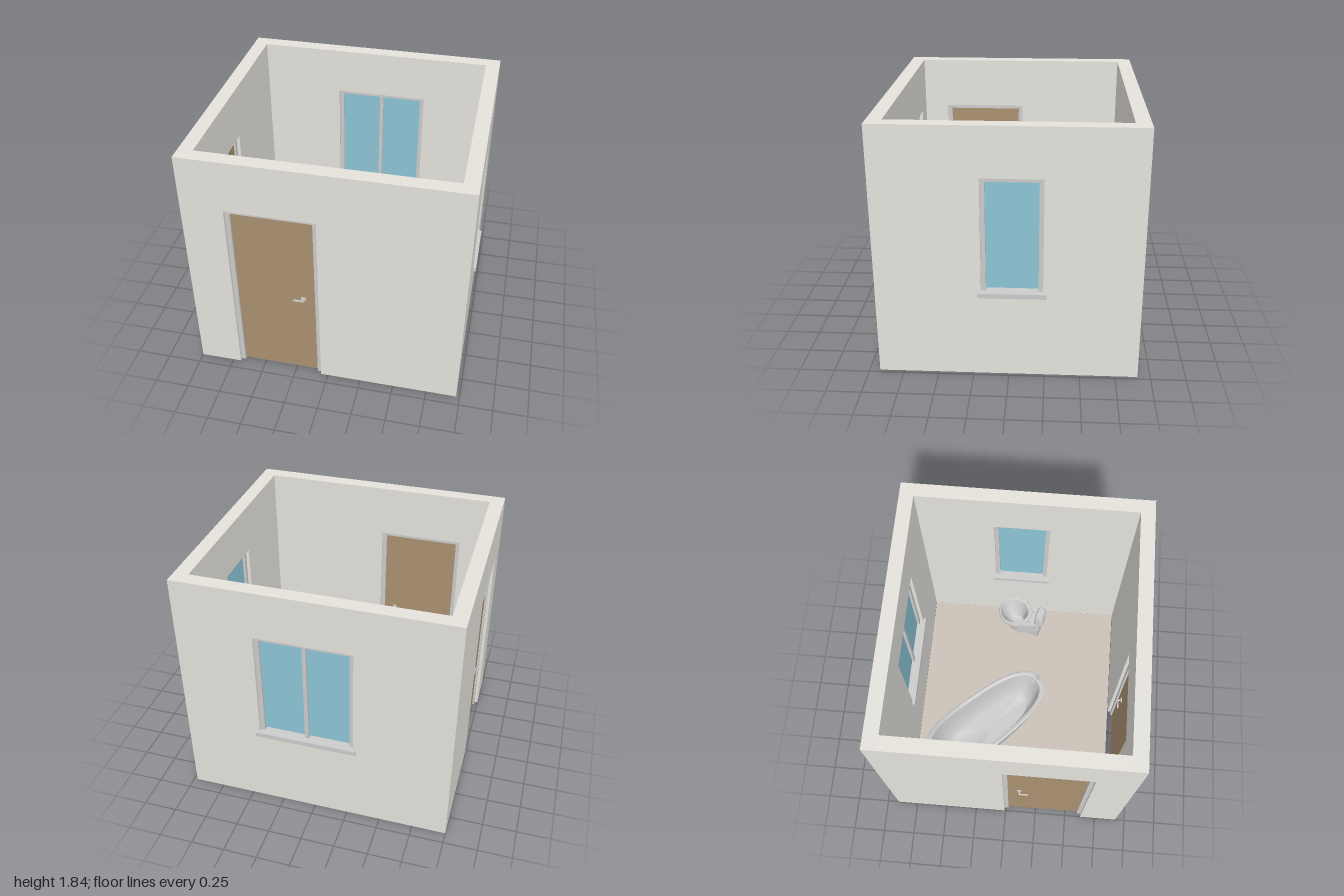
import * as THREE from 'three';
import { toCreasedNormals } from 'three/addons/utils/BufferGeometryUtils.js';

const mat = (color) => new THREE.MeshStandardMaterial({ color });
const BASE = 0.015, TOP = 1.85, THICK = 0.105, FRAME = 0.032;

export function createModel() {
  const wallMat = mat(0xe4e2db), floorMat = mat(0xcac1b8), doorMat = mat(0xaa9171);
  const glassMat = mat(0x8dc4d5), grey = mat(0xcccccc);
  const room = new THREE.Group();
  room.name = 'bathroom';

  const add = (parent, name, geo, material, x = 0, y = 0, z = 0) => {
    const m = new THREE.Mesh(geo, material);
    m.name = name;
    m.position.set(x, y, z);
    parent.add(m);
    return m;
  };
  // Box given by its left/right, bottom/top and depth range
  const box = (parent, name, material, x0, x1, y0, y1, z0, z1) =>
    add(parent, name, new THREE.BoxGeometry(x1 - x0, y1 - y0, z1 - z0), material,
      (x0 + x1) / 2, (y0 + y1) / 2, (z0 + z1) / 2);
  const group = (name, x, y, z, turn) => {
    const g = new THREE.Group();
    g.name = name;
    g.position.set(x, y, z);
    g.rotation.y = turn;
    room.add(g);
    return g;
  };

  // Three-sided frame without a bottom rail
  const frame = (g, name, x0, x1, y0, y1) => {
    const d = 0.0275;
    box(g, name + 'JambA', grey, x0, x0 + FRAME, y0, y1, -d, d);
    box(g, name + 'JambB', grey, x1 - FRAME, x1, y0, y1, -d, d);
    box(g, name + 'Head', grey, x0 + FRAME, x1 - FRAME, y1 - FRAME, y1, -d, d);
  };

  // Wall in its own frame: +z points out of the room, z = 0 is mid-thickness
  const wall = (name, x, z, turn, u0, u1, o) => {
    const g = group(name, x, 0, z, turn);
    const s = new THREE.Shape();
    const path = (target, pts) => target.setFromPoints(pts.map((p) => new THREE.Vector2(...p)));
    const opening = [[o.x0, o.y0], [o.x0, o.y1], [o.x1, o.y1], [o.x1, o.y0]];
    if (o.door) path(s, [[u0, BASE], ...opening, [u1, BASE], [u1, TOP], [u0, TOP]]);
    else {
      path(s, [[u0, BASE], [u1, BASE], [u1, TOP], [u0, TOP]]);
      s.holes.push(path(new THREE.Path(), opening));
    }
    const geo = new THREE.ExtrudeGeometry(s, { depth: THICK, bevelEnabled: false });
    add(g, name + 'Panel', geo, wallMat, 0, 0, -THICK / 2);
    return g;
  };

  const doorWall = (name, x, z, turn, u0, u1, x0, x1, handleEnd) => {
    const g = wall(name, x, z, turn, u0, u1, { door: true, x0, x1, y0: BASE, y1: 1.46 });
    frame(g, 'doorFrame', x0, x1, BASE, 1.46);
    box(g, 'door', doorMat, x0 + FRAME, x1 - FRAME, 0.025, 1.43, -0.012, 0.012);
    // Lever handle on both faces
    const edge = handleEnd > 0 ? x1 : x0;
    for (const f of [1, -1]) {
      const hx = edge - handleEnd * 0.12;
      box(g, 'handlePlate', grey, hx - 0.017, hx + 0.017, 0.717, 0.747, f > 0 ? 0.012 : -0.018, f > 0 ? 0.018 : -0.012);
      const stem = add(g, 'handleStem', new THREE.CylinderGeometry(0.007, 0.007, 0.03, 12), grey, hx, 0.731, f * 0.027);
      stem.rotation.x = Math.PI / 2;
      add(g, 'handleLever', new THREE.BoxGeometry(0.075, 0.011, 0.009), grey, hx - handleEnd * 0.031, 0.731, f * 0.041);
    }
  };

  const windowWall = (name, x, z, turn, u0, u1, x0, x1, panes) => {
    const g = wall(name, x, z, turn, u0, u1, { x0, x1, y0: 0.65, y1: 1.495 });
    frame(g, 'windowFrame', x0, x1, 0.665, 1.495);
    const w = (x1 - x0 - 2 * FRAME) / panes;
    for (let i = 0; i < panes; i++) {
      const a = x0 + FRAME + i * w;
      box(g, 'glassPane', glassMat, a, a + w, 0.68, 1.465, -0.008, 0.008);
      if (i) box(g, 'mullion', grey, a - 0.014, a + 0.014, 0.665, 1.465, -0.0275, 0.0275);
    }
    box(g, 'windowSill', grey, x0 - 0.024, x1 + 0.024, 0.63, 0.665, -0.074, 0.074);
  };

  doorWall('frontWall', 0, 0.8725, 0, -1, 0.975, -0.692, -0.053, 1);
  doorWall('rightHandWall', -0.9475, 0, -Math.PI / 2, -0.805, 0.82, -0.01, 0.629, -1);
  windowWall('backWall', 0, -0.8575, Math.PI, -0.975, 1, -0.405, 0.295, 2);
  windowWall('leftHandWall', 0.9225, 0, Math.PI / 2, -0.82, 0.805, -0.19, 0.235, 1);
  box(room, 'floor', floorMat, -0.892, 0.867, 0.016, 0.021, -0.803, 0.817);

  // Skin over superellipse rings [y, half length, half width, x shift, end rise]
  const loft = (rings, power = 2, taper = 0, n = 48) => {
    const pos = [], idx = [];
    const bend = (v) => Math.sign(v) * Math.abs(v) ** (2 / power);
    rings.forEach(([y, a, b, shift = 0, rise = 0], i) => {
      for (let j = 0; j < n; j++) {
        const t = (j / n) * Math.PI * 2, c = bend(Math.cos(t));
        const lift = rise * Math.max(0, -c) ** 2;
        pos.push(shift + a * c, y + lift, b * (1 - taper * c) * bend(Math.sin(t)));
        if (i === rings.length - 1) continue;
        const p = i * n + j, q = i * n + (j + 1) % n;
        idx.push(p, p + n, q, q, p + n, q + n);
      }
    });
    const geo = new THREE.BufferGeometry();
    geo.setAttribute('position', new THREE.Float32BufferAttribute(pos, 3));
    geo.setIndex(idx);
    return toCreasedNormals(geo, 0.8);
  };
  const rod = (g, name, pts, r) => add(g, name, new THREE.TubeGeometry(
    new THREE.CatmullRomCurve3(pts.map((p) => new THREE.Vector3(...p))), 20, r, 10), grey);

  // Freestanding bathtub with a raised head end
  const tub = group('bathtub', -0.315, 0.02, -0.21, -0.82);
  add(tub, 'tubShell', loft([
    [0, 0.001, 0.001], [0, 0.42, 0.16], [0.03, 0.44, 0.17], [0.2, 0.5, 0.2, 0, 0.02],
    [0.36, 0.535, 0.213, 0, 0.08], [0.39, 0.56, 0.23, 0, 0.09], [0.405, 0.56, 0.23, 0, 0.09],
    [0.412, 0.545, 0.218, 0, 0.09], [0.405, 0.52, 0.195, 0, 0.09], [0.3, 0.49, 0.182, 0, 0.05],
    [0.12, 0.43, 0.155, 0.01], [0.08, 0.38, 0.125, 0.02], [0.07, 0.001, 0.001, 0.02],
  ], 2.6, 0.08), grey);
  add(tub, 'tubDrain', new THREE.CylinderGeometry(0.02, 0.02, 0.008, 16), grey, 0.28, 0.077, 0);
  rod(tub, 'tubSpout', [[0.54, 0.4, 0], [0.54, 0.47, 0], [0.51, 0.49, 0], [0.47, 0.46, 0]], 0.011);

  // Pedestal basin, back edge towards -x in its own frame
  const sink = group('washBasin', -0.77, 0.02, 0, -Math.PI / 2);
  add(sink, 'basinPedestal', loft([
    [0, 0.001, 0.001, -0.06], [0, 0.085, 0.075, -0.06], [0.04, 0.075, 0.065, -0.06],
    [0.25, 0.055, 0.05, -0.06], [0.45, 0.085, 0.07, -0.04], [0.46, 0.001, 0.001, -0.04],
  ]), grey);
  add(sink, 'basinBowl', loft([
    [0.42, 0.001, 0.001], [0.42, 0.1, 0.07, -0.02], [0.48, 0.18, 0.1, -0.01],
    [0.55, 0.215, 0.122], [0.585, 0.217, 0.125], [0.592, 0.208, 0.117],
    [0.59, 0.14, 0.1, 0.05], [0.54, 0.125, 0.09, 0.045], [0.48, 0.08, 0.06, 0.03],
    [0.47, 0.001, 0.001, 0.02],
  ], 3.6), grey);
  add(sink, 'basinDrain', new THREE.CylinderGeometry(0.014, 0.014, 0.008, 16), grey, 0.015, 0.478, 0);
  rod(sink, 'basinSpout', [[-0.16, 0.585, 0], [-0.16, 0.65, 0], [-0.13, 0.665, 0], [-0.09, 0.64, 0]], 0.008);
  for (const s of [-1, 1])
    add(sink, 'basinTap', new THREE.CylinderGeometry(0.01, 0.012, 0.045, 12), grey, -0.155, 0.612, s * 0.037);

  // Toilet, bowl towards +x in its own frame
  const toilet = group('toilet', 0.715, 0.02, -0.055, 1.28);
  add(toilet, 'toiletBowl', loft([
    [0, 0.001, 0.001, -0.05], [0, 0.12, 0.07, -0.05], [0.05, 0.11, 0.065, -0.05],
    [0.15, 0.12, 0.085, -0.02], [0.24, 0.145, 0.132], [0.27, 0.148, 0.138],
    [0.283, 0.142, 0.132], [0.28, 0.122, 0.11, 0.012], [0.2, 0.095, 0.085, 0.01],
    [0.1, 0.05, 0.045, -0.02], [0.09, 0.001, 0.001, -0.02],
  ], 2.1), grey);
  // Tapered rear deck behind the bowl
  const deck = new THREE.Shape([[-0.24, -0.055], [-0.06, -0.122], [-0.115, 0],
    [-0.06, 0.122], [-0.24, 0.055]].map((p) => new THREE.Vector2(...p)));
  add(toilet, 'toiletDeck', new THREE.ExtrudeGeometry(deck, { depth: 0.12, bevelEnabled: false }),
    grey, 0, 0.155, 0).rotation.x = -Math.PI / 2;
  box(toilet, 'toiletRearBase', grey, -0.23, -0.09, 0, 0.16, -0.05, 0.05);
  add(toilet, 'toiletCistern', loft([
    [0.27, 0.001, 0.001, -0.225], [0.27, 0.042, 0.056, -0.225], [0.42, 0.036, 0.054, -0.23],
    [0.435, 0.028, 0.046, -0.23], [0.435, 0.001, 0.001, -0.23],
  ], 4), grey);
  for (const s of [-1, 1])
    add(toilet, 'seatHinge', new THREE.CylinderGeometry(0.009, 0.009, 0.02, 12), grey, -0.15, 0.283, s * 0.05);
  return room;
}
